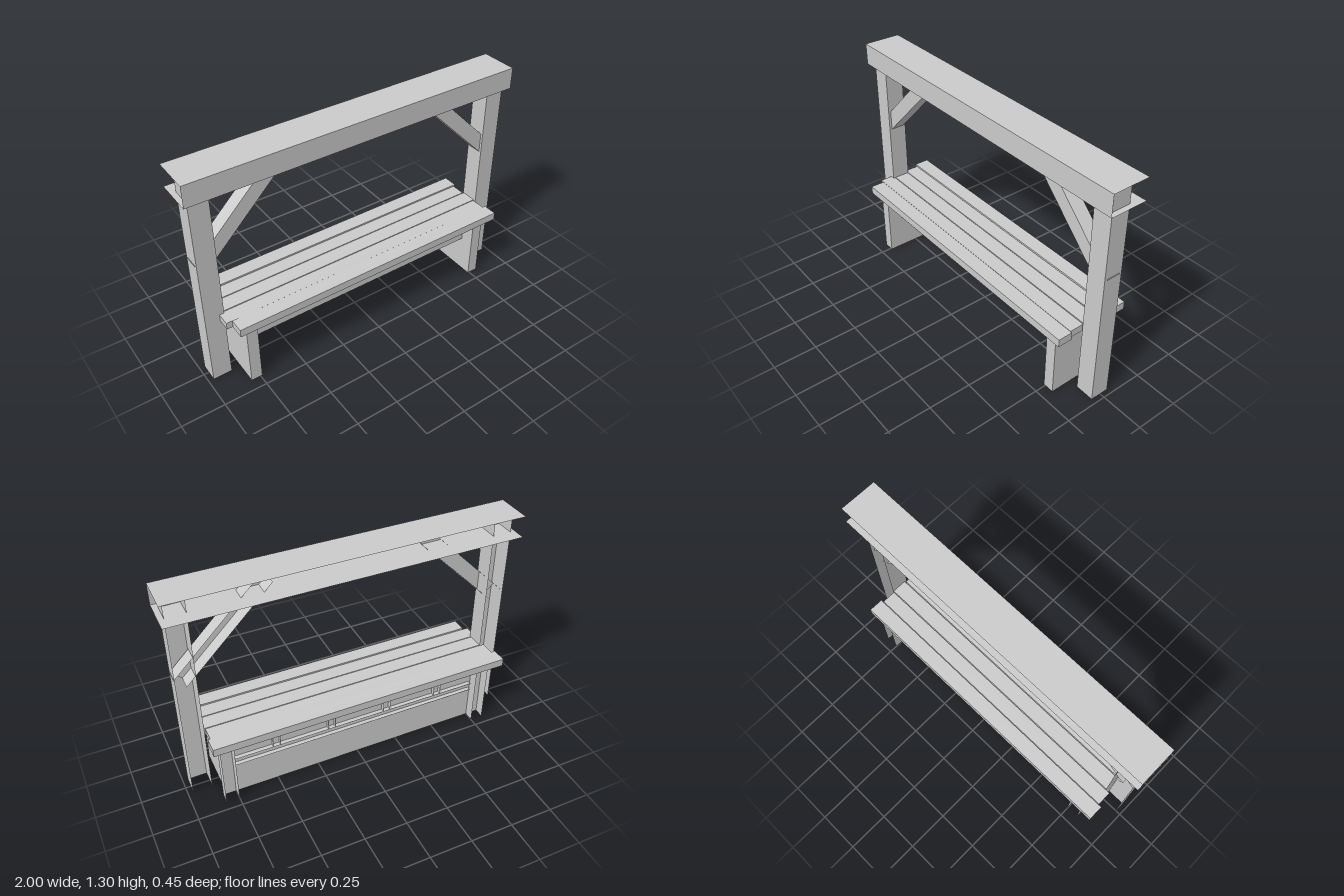
import * as THREE from 'three';

const material = new THREE.MeshStandardMaterial({ color: 0xcccccc, side: THREE.DoubleSide });
const FACES = ['+x', '-x', '+y', '-y', '+z', '-z'];

// Box between two corners that keeps only the listed faces (open board channel).
function board(name, [x0, x1], [y0, y1], [z0, z1], faces = FACES) {
  const geometry = new THREE.BoxGeometry(x1 - x0, y1 - y0, z1 - z0);
  const all = Array.from(geometry.index.array);
  geometry.setIndex(faces.flatMap((f) => {
    const start = FACES.indexOf(f) * 6;
    return all.slice(start, start + 6);
  }));
  geometry.clearGroups();
  const mesh = new THREE.Mesh(geometry, material);
  mesh.name = name;
  mesh.position.set((x0 + x1) / 2, (y0 + y1) / 2, (z0 + z1) / 2);
  return mesh;
}

// Range mirrored to the requested side
const side = (s, a, b) => (s > 0 ? [a, b] : [-b, -a]);

export function createModel() {
  const model = new THREE.Group();
  const add = (...args) => {
    const mesh = board(...args);
    model.add(mesh);
    return mesh;
  };

  // Overhead beam, open at the back and ends
  add('beam', [-1, 1], [1.18, 1.305], [-0.125, 0.095], ['+y', '-y', '+z']);

  for (const s of [1, -1]) {
    const label = s > 0 ? 'left' : 'right';

    // Post, running up inside the beam
    add(label + 'Post', side(s, 0.86, 0.97), [0, 1.303], [-0.05, 0.06], ['+x', '-x', '+z']);

    // Diagonal brace, its ends let into the post and the beam
    const brace = add(label + 'Brace', [-0.35, 0.35], [-0.0425, 0.0425], [-0.035, 0.045],
      ['+y', '-y', '+z']);
    brace.position.set(s * 0.695, 1.01, 0.005);
    brace.rotation.z = -s * Math.PI / 4;

    // Bench leg, with the open channel that frames the back panel
    add(label + 'Leg', side(s, 0.74, 0.805), [0, 0.39], [-0.14, 0.185], ['+x', '-x', '+z']);
    add(label + 'BackLeg', side(s, 0.75, 0.825), [0, 0.39], [-0.2, -0.14], ['+x', '-x']);
  }

  // Back panel and the shelf rail that passes through it
  add('backPanel', [-0.825, 0.825], [0, 0.39], [-0.141, -0.14], ['+z']);
  add('shelfRail', [-0.74, 0.74], [0.22, 0.265], [-0.165, 0.1], ['+y', '-y', '+z']);

  // Seat supports standing on the shelf
  for (const x of [-0.505, -0.175, 0.17, 0.5]) {
    add('seatSupport', [x - 0.021, x + 0.021], [0.265, 0.39], [-0.165, 0.1], ['+x', '-x', '+z']);
  }

  // Seat planks: x range, top, z range
  const planks = [
    [[-0.855, 0.867], 0.44, [0.14, 0.225]],
    [[-0.887, 0.853], 0.435, [0.05, 0.135]],
    [[-0.86, 0.86], 0.435, [-0.045, 0.045]],
    [[-0.887, 0.853], 0.435, [-0.135, -0.05]],
    [[-0.907, 0.867], 0.44, [-0.228, -0.14]],
  ];
  for (const [x, top, z] of planks) add('seatPlank', x, [0.393, top], z);

  return model;
}
